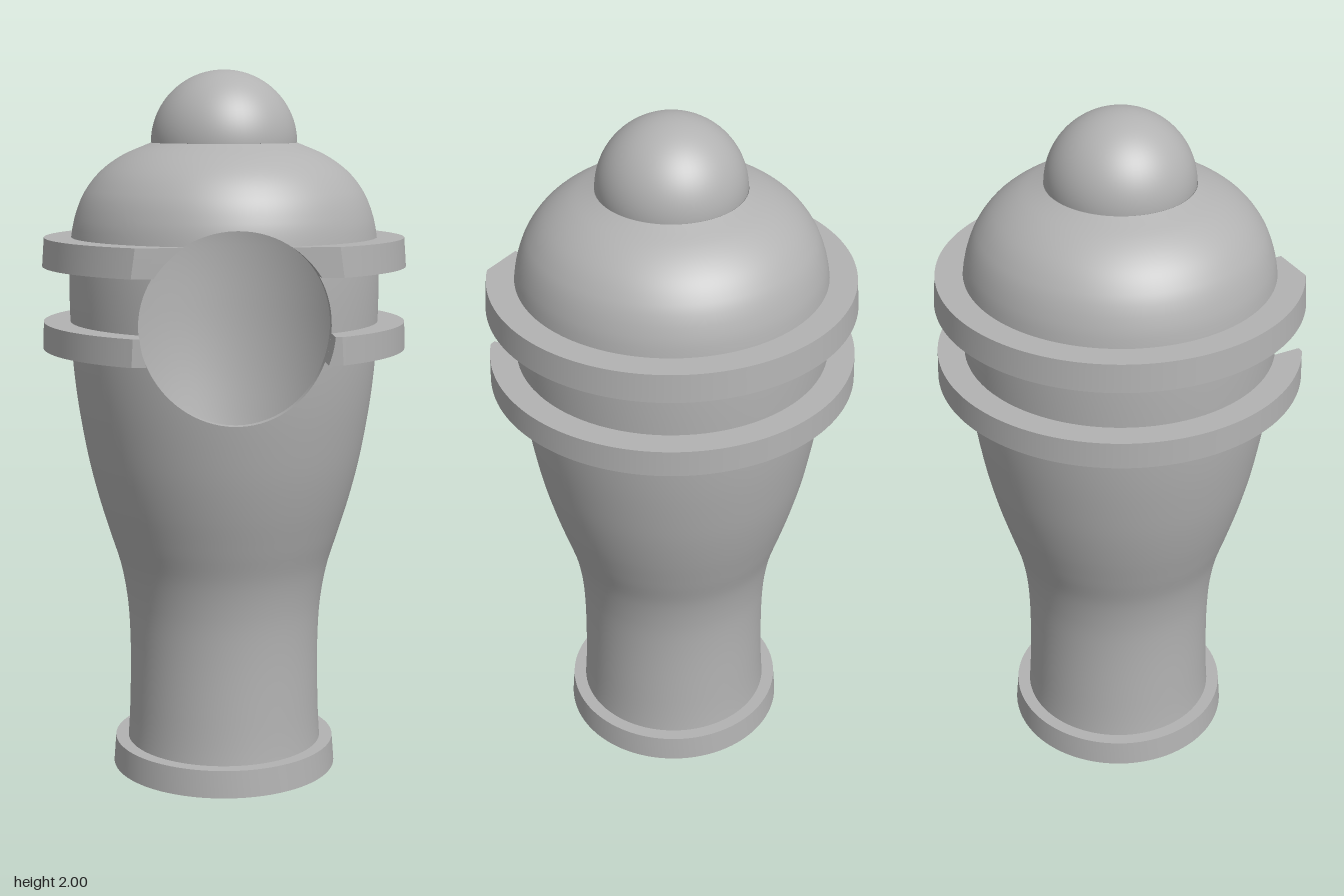
import * as THREE from 'three';
import { toCreasedNormals } from 'three/addons/utils/BufferGeometryUtils.js';

const AXIS_Z = 0.041, WALL = 0.026;
const HOLE = { y: 1.325, r: 0.257 };   // round opening, cut straight along z
const BAND = { half: 0.32, angle: Math.PI / 4 }; // patch of wall around the opening
const FLAT = 0.47 - AXIS_Z;            // flat front cut of the collars
const lerp = THREE.MathUtils.lerp;

// Body outline: radius as a smooth function of height
const heights = [0, 0.08, 0.2, 0.4, 0.5, 0.6, 0.7, 0.8, 0.9, 1.0, 1.1, 1.2, 1.3, 1.45, 1.53, 1.6, 1.67, 1.73, 1.77, 1.8];
const radii = [0.29, 0.281, 0.275, 0.274, 0.281, 0.299, 0.33, 0.36, 0.385, 0.404, 0.419, 0.429, 0.434, 0.435, 0.43, 0.417, 0.387, 0.336, 0.276, 0.205];
const outline = new THREE.CubicInterpolant(heights, radii, 1, new Float32Array(1));
const radiusAt = (y) => outline.evaluate(THREE.MathUtils.clamp(y, 0, 1.8))[0];
const holeHalfWidth = (y) => Math.sqrt(Math.max(0, HOLE.r ** 2 - (y - HOLE.y) ** 2));

// Grid surface; fn(u, v) gives [x, y, z] or [x, y, z, nx, ny, nz]
function grid(nu, nv, fn) {
  const pos = [], nor = [], idx = [];
  for (let j = 0; j <= nv; j++) {
    for (let i = 0; i <= nu; i++) {
      const p = fn(i / nu, j / nv);
      pos.push(p[0], p[1], p[2]);
      if (p.length > 3) nor.push(p[3], p[4], p[5]);
      if (i < nu && j < nv) {
        const a = j * (nu + 1) + i, b = a + nu + 1;
        idx.push(a, a + 1, b + 1, a, b + 1, b);
      }
    }
  }
  const g = new THREE.BufferGeometry();
  g.setAttribute('position', new THREE.Float32BufferAttribute(pos, 3));
  if (nor.length) g.setAttribute('normal', new THREE.Float32BufferAttribute(nor, 3));
  g.setIndex(idx);
  return g;
}

// Point and normal on the outer (inset 0) or inner wall
function wallPoint(theta, y, inset) {
  const r = radiusAt(y) - inset, e = 0.004;
  const y0 = Math.max(0, y - e), y1 = Math.min(1.8, y + e);
  const slope = (radiusAt(y1) - radiusAt(y0)) / (y1 - y0);
  const s = (inset ? -1 : 1) / Math.hypot(1, slope);
  const sx = Math.sin(theta), cz = Math.cos(theta);
  return [r * sx, y, r * cz, s * sx, -s * slope, s * cz];
}

// Counter-clockwise walk round the square patch, from -1 to 1 on both axes
function squarePoint(u) {
  const k = Math.min(3, Math.floor(u * 4)), f = (u * 4 - k) * 2 - 1;
  return [[1, f], [-f, 1], [-1, -f], [f, -1]][k];
}

function holePoint(u, inset) {
  const [a, b] = squarePoint(u), d = Math.hypot(a, b);
  const x = HOLE.r * a / d, y = HOLE.y + HOLE.r * b / d;
  return { x, y, theta: Math.asin(x / (radiusAt(y) - inset)), nx: -a / d, ny: -b / d };
}

// One skin of the body: below, above and behind the opening, then the pierced patch
function skin(inset) {
  const lo = HOLE.y - BAND.half, hi = HOLE.y + BAND.half, T = BAND.angle;
  const flip = (u) => (inset ? 1 - u : u);
  const sheet = (nu, nv, t0, t1, y0, y1) => grid(nu, nv, (u, v) =>
    wallPoint(lerp(t0, t1, flip(u)), lerp(y0, y1, v), inset));
  return [
    sheet(96, 48, -Math.PI, Math.PI, 0, lo),
    sheet(96, 24, -Math.PI, Math.PI, hi, 1.8),
    sheet(72, 24, T, 2 * Math.PI - T, lo, hi),
    grid(96, 14, (u, v) => {
      const w = flip(u), [a, b] = squarePoint(w), h = holePoint(w, inset);
      return wallPoint(lerp(a * T, h.theta, v), lerp(HOLE.y + b * BAND.half, h.y, v), inset);
    }),
  ];
}

// Collar around the body, flat at the front and cut away by the opening
function collar(y0, y1, rBottom, rTop) {
  const inner = 0.42, N = 120, L = 6;
  const point = (i, level, outer) => {
    const t = level / L, y = lerp(y0, y1, t), R = lerp(rBottom, rTop, t), hw = holeHalfWidth(y);
    const end = outer ? Math.atan2(hw, FLAT) : Math.asin(hw / inner);
    const kink = Math.max(Math.acos(FLAT / R), end + 0.005);
    const m = Math.min(i, N - i);
    let theta = m <= 4 ? lerp(end, kink, m / 4) : lerp(kink, Math.PI, (m - 4) / (N / 2 - 4));
    const c = Math.cos(theta);
    const r = !outer ? inner : c > 0 ? Math.min(R, FLAT / c) : R;
    if (i > N / 2) theta = -theta;
    return [r * Math.sin(theta), y, r * Math.cos(theta)];
  };
  const loop = [];
  for (let l = 0; l <= L; l++) loop.push([l, true]);
  for (let l = L; l >= 0; l--) loop.push([l, false]);
  loop.push(loop[0]);
  const n = loop.length - 1;
  return [
    grid(N, n, (u, v) => point(Math.round(u * N), ...loop[Math.round(v * n)])),
    grid(1, L, (u, v) => point(0, Math.round(v * L), u > 0.5)),
    grid(1, L, (u, v) => point(N, Math.round(v * L), u < 0.5)),
  ].map((g) => toCreasedNormals(g, 0.4));
}

export function createModel() {
  const model = new THREE.Group();
  const grey = new THREE.MeshStandardMaterial({ color: 0xb2b2b2 });
  grey.name = 'grey';

  function part(name, geometries) {
    const group = new THREE.Group();
    group.name = name;
    for (const g of geometries) {
      const mesh = new THREE.Mesh(g, grey);
      mesh.name = name;
      group.add(mesh);
    }
    group.position.z = AXIS_Z;
    model.add(group);
  }

  // Hollow body
  part('bodyOuterWall', skin(0));
  part('bodyInnerWall', skin(WALL));

  // Thickness of the wall round the opening
  part('openingRim', [grid(96, 1, (u, v) => {
    const inset = v * WALL, h = holePoint(u, inset);
    return [h.x, h.y, (radiusAt(h.y) - inset) * Math.cos(h.theta), h.nx, h.ny, 0];
  })]);

  // Ceiling inside the dome
  part('ceiling', [new THREE.CircleGeometry(0.2, 64).rotateX(Math.PI / 2).translate(0, 1.795, 0)]);

  // Round knob
  part('knob', [new THREE.SphereGeometry(0.204, 64, 24, 0, Math.PI * 2, 0, Math.PI / 2)
    .scale(1, 0.2 / 0.204, 1).translate(0, 1.8, 0)]);

  // Two collars
  part('upperCollar', collar(1.46, 1.54, 0.511, 0.505));
  part('lowerCollar', collar(1.23, 1.305, 0.511, 0.509));

  // Foot ring
  const foot = [[0.262, 0], [0.324, 0], [0.318, 0.078], [0.27, 0.078]].map((p) => new THREE.Vector2(...p));
  part('footRing', [toCreasedNormals(new THREE.LatheGeometry(foot, 96), 0.5)]);

  return model;
}
